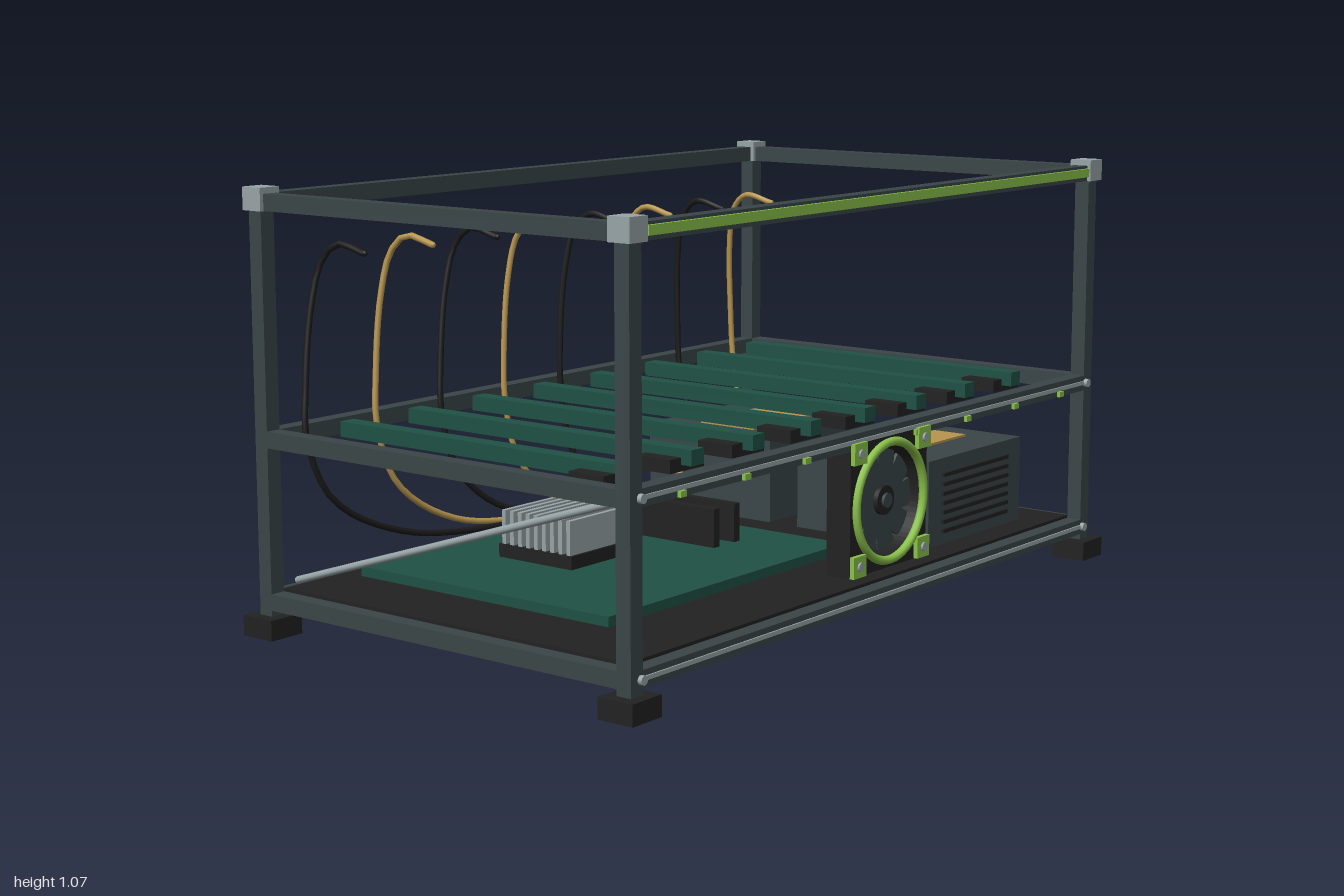
import * as THREE from 'three';

const mat = (name, color) => Object.assign(new THREE.MeshStandardMaterial({ color }), { name });

export function createModel() {
  const M = {
    slate: mat('slate metal', 0x3b4648),
    black: mat('black plastic', 0x222222),
    cableBlack: mat('cable black', 0x1a1a1a),
    green: mat('board green', 0x1f5145),
    lime: mat('lime accent', 0x8bc34a),
    gold: mat('gold', 0xb8964f),
    silver: mat('silver', 0x98a5a8),
  };
  const model = new THREE.Group();
  model.name = 'openFrameRig';

  const add = (name, geo, m, x = 0, y = 0, z = 0, parent = model) => {
    const mesh = new THREE.Mesh(geo, m);
    mesh.name = name;
    mesh.position.set(x, y, z);
    parent.add(mesh);
    return mesh;
  };
  // Box given by its min and max on each axis
  const box = (name, m, x0, x1, y0, y1, z0, z1, parent = model) =>
    add(name, new THREE.BoxGeometry(x1 - x0, y1 - y0, z1 - z0), m,
      (x0 + x1) / 2, (y0 + y1) / 2, (z0 + z1) / 2, parent);

  // Frame: posts, corner blocks, feet and three levels of rails
  const PX = 0.95, PZ = 0.553, H = 0.02;
  const frame = new THREE.Group();
  frame.name = 'frame';
  model.add(frame);
  for (const sx of [-1, 1]) for (const sz of [-1, 1]) {
    const x = sx * PX, z = sz * PZ;
    box('post', M.slate, x - H, x + H, 0.05, 1.04, z - H, z + H, frame);
    add('cornerBlock', new THREE.BoxGeometry(0.06, 0.055, 0.06), M.silver, x, 1.045, z, frame);
    add('foot', new THREE.BoxGeometry(0.098, 0.05, 0.096), M.black, x, 0.025, z, frame);
  }
  for (const y of [0.085, 0.478, 1.038]) {
    for (const s of [-1, 1]) {
      box('longRail', M.slate, -PX + H, PX - H, y - H, y + H, s * PZ - H, s * PZ + H, frame);
      box('sideRail', M.slate, s * PX - H, s * PX + H, y - H, y + H, -PZ + H, PZ - H, frame);
    }
    if (y > 1) continue;
    // Bright slot and end bolts on the front rails
    box('railSlot', M.silver, -0.925, 0.925, y - 0.004, y + 0.006, PZ + H, PZ + H + 0.004, frame);
    for (const s of [-1, 1]) {
      const bolt = add('bolt', new THREE.CylinderGeometry(0.011, 0.011, 0.012, 12), M.silver,
        s * 0.937, y, PZ + H + 0.005, frame);
      bolt.rotation.x = Math.PI / 2;
    }
  }
  box('lightStrip', M.lime, -0.915, 0.915, 1.029, 1.051, PZ + H, PZ + H + 0.009, frame);

  // Tray
  box('tray', M.black, -0.93, 0.93, 0.09, 0.113, -0.533, 0.533);

  // Diagonal side braces
  for (const s of [-1, 1]) {
    const path = new THREE.LineCurve3(
      new THREE.Vector3(s * 0.925, 0.465, 0.52), new THREE.Vector3(s * 0.925, 0.138, -0.49));
    add('sideBrace', new THREE.TubeGeometry(path, 1, 0.009, 8), M.silver);
  }

  // Card bars with sockets and front clips
  const slots = [-0.8, -0.571, -0.343, -0.114, 0.114, 0.343, 0.571, 0.8];
  for (const x of slots) {
    box('cardBar', M.green, x - 0.022, x + 0.022, 0.475, 0.512, -0.44, 0.44);
    box('barSocket', M.black, x - 0.062, x + 0.062, 0.46, 0.492, 0.31, 0.41);
    box('frontClip', M.lime, x - 0.011, x + 0.011, 0.459, 0.473, PZ + H, PZ + H + 0.009);
  }

  // Main board with heatsink and memory sticks
  box('mainBoard', M.green, -0.76, 0.16, 0.123, 0.147, -0.444, 0.335);
  box('heatsinkBase', M.black, -0.48, -0.25, 0.147, 0.18, -0.25, -0.016);
  for (let i = 0; i < 9; i++) {
    const z = -0.237 + i * 0.026;
    box('heatsinkFin', M.silver, -0.476, -0.252, 0.18, 0.265, z - 0.006, z + 0.006);
  }
  for (const x of [-0.073, 0.01])
    box('memoryStick', M.black, x - 0.011, x + 0.011, 0.147, 0.245, -0.25, 0.11);

  // Two power supplies
  for (const z of [-0.25, 0.25]) {
    box('powerSupply', M.slate, 0.36, 0.805, 0.113, 0.338, z - 0.205, z + 0.205);
    box('powerLabel', M.gold, 0.44, 0.715, 0.338, 0.344, z - 0.09, z + 0.09);
  }
  for (let i = 0; i < 7; i++) {
    const y = 0.148 + i * 0.0245;
    box('ventSlat', M.black, 0.42, 0.735, y - 0.005, y + 0.005, 0.455, 0.463);
  }

  // Front fan
  const fan = new THREE.Group();
  fan.name = 'fan';
  fan.position.set(0, 0.315, 0);
  model.add(fan);
  const S = 0.163;
  const plate = new THREE.Shape([[-S, -S], [S, -S], [S, S], [-S, S]].map(p => new THREE.Vector2(...p)));
  plate.holes.push(new THREE.Path().absarc(0, 0, 0.138, 0, Math.PI * 2, true));
  add('fanFrame', new THREE.ExtrudeGeometry(plate, { depth: 0.067, bevelEnabled: false, curveSegments: 32 }),
    M.black, 0, 0, 0.507, fan);
  add('fanRing', new THREE.TorusGeometry(0.144, 0.011, 8, 48), M.lime, 0, 0, 0.578, fan);
  const blade = new THREE.Shape();
  blade.moveTo(0.03, -0.012);
  blade.quadraticCurveTo(0.08, -0.045, 0.119, -0.03);
  blade.quadraticCurveTo(0.128, 0.0, 0.117, 0.035);
  blade.quadraticCurveTo(0.07, 0.025, 0.03, 0.014);
  const bladeGeo = new THREE.ExtrudeGeometry(blade, { depth: 0.008, bevelEnabled: false, curveSegments: 5 });
  for (let i = 0; i < 9; i++) {
    const b = add('fanBlade', bladeGeo, M.slate, 0, 0, 0.545, fan);
    b.rotation.z = i * Math.PI * 2 / 9;
  }
  const disc = (name, r, d, m, x, y, z) => {
    const c = add(name, new THREE.CylinderGeometry(r, r, d, 24), m, x, y, z, fan);
    c.rotation.x = Math.PI / 2;
  };
  disc('fanHub', 0.036, 0.05, M.black, 0, 0, 0.54);
  disc('hubCap', 0.018, 0.008, M.slate, 0, 0, 0.568);
  for (const sx of [-1, 1]) for (const sy of [-1, 1]) {
    const x = sx * 0.136, y = sy * 0.136;
    add('fanCorner', new THREE.BoxGeometry(0.052, 0.052, 0.012), M.lime, x, y, 0.58, fan);
    disc('fanScrew', 0.011, 0.006, M.silver, x, y, 0.588);
  }

  // Power cables rising behind the frame and hooking forward
  const lean = [-0.055, -0.05, -0.05, -0.042, -0.05, -0.032, 0, 0.02];
  slots.forEach((x, i) => {
    const bx = x + lean[i], pts = [];
    if (i < 6) {
      const y = 0.2 - 0.003 * (5 - i), span = 0.36 - bx;
      pts.push([0.365, y, -0.28 - i * 0.01]);
      if (i < 5) pts.push([bx + span * 0.55, y - 0.015, -0.39], [bx + span * 0.22, 0.2, -0.46]);
      else pts.push([0.33, 0.25, -0.43]);
      pts.push([bx + span * 0.05, 0.31, -0.5]);
    } else {
      pts.push([0.57 + (x - 0.57) * 0.88, 0.22, -0.455], [bx - (i - 6) * 0.012, 0.36, -0.495]);
    }
    pts.push([bx, 0.46, -0.52], [bx + (x - bx) * 0.12, 0.6, -0.527], [bx + (x - bx) * 0.5, 0.78, -0.525],
      [bx + (x - bx) * 0.85, 0.89, -0.505], [x, 0.932, -0.46], [x, 0.915, -0.37]);
    const curve = new THREE.CatmullRomCurve3(pts.map(p => new THREE.Vector3(...p)));
    add('powerCable', new THREE.TubeGeometry(curve, 48, 0.008, 8), i % 2 ? M.gold : M.cableBlack);
    // Cable tip caps
    for (const p of [pts[0], pts[pts.length - 1]])
      add('cableEnd', new THREE.SphereGeometry(0.008, 8, 6), i % 2 ? M.gold : M.cableBlack, ...p);
  });

  return model;
}
